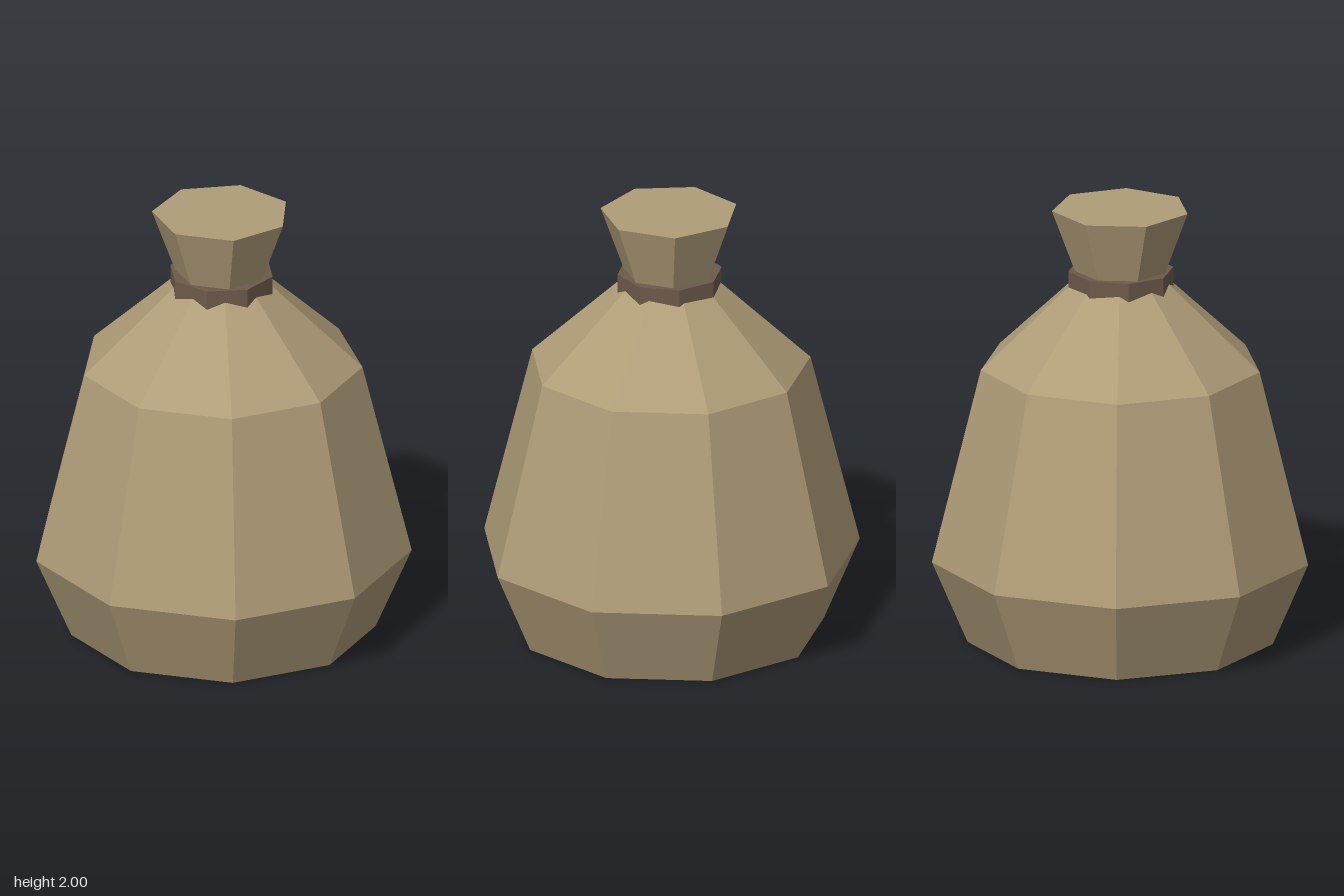
import * as THREE from 'three';

const CENTRE_Z = 0.024;

function material(name, color) {
  const m = new THREE.MeshStandardMaterial({ color, flatShading: true });
  m.name = name;
  return m;
}

// Faceted turned part: profile of [radius, height] pairs, from the bottom up
function turned(name, profile, sides, start, mat) {
  const points = profile.map(([r, y]) => new THREE.Vector2(r, y));
  const mesh = new THREE.Mesh(new THREE.LatheGeometry(points, sides, start), mat);
  mesh.name = name;
  mesh.position.z = CENTRE_Z;
  return mesh;
}

export function createModel() {
  const model = new THREE.Group();
  model.name = 'tiedSack';
  const burlap = material('burlap', 0xb09d78);
  const cord = material('cord', 0x6d5a4a);

  // Nine-sided bulging sack with a closed bottom, gathered at the neck
  model.add(turned('sackBody',
    [[0, 0], [0.695, 0], [0.857, 0.38], [0.635, 1.27], [0.19, 1.685], [0, 1.685]],
    9, Math.PI, burlap));

  // Seven-sided flared mouth above the tie
  model.add(turned('sackMouth',
    [[0, 1.66], [0.188, 1.66], [0.313, 2], [0, 2]],
    7, Math.PI, burlap));

  // Eight-sided cord band, sunk into the shoulders
  model.add(turned('cordBand',
    [[0, 1.6], [0.238, 1.6], [0.238, 1.715], [0, 1.715]],
    8, 0, cord));

  return model;
}
